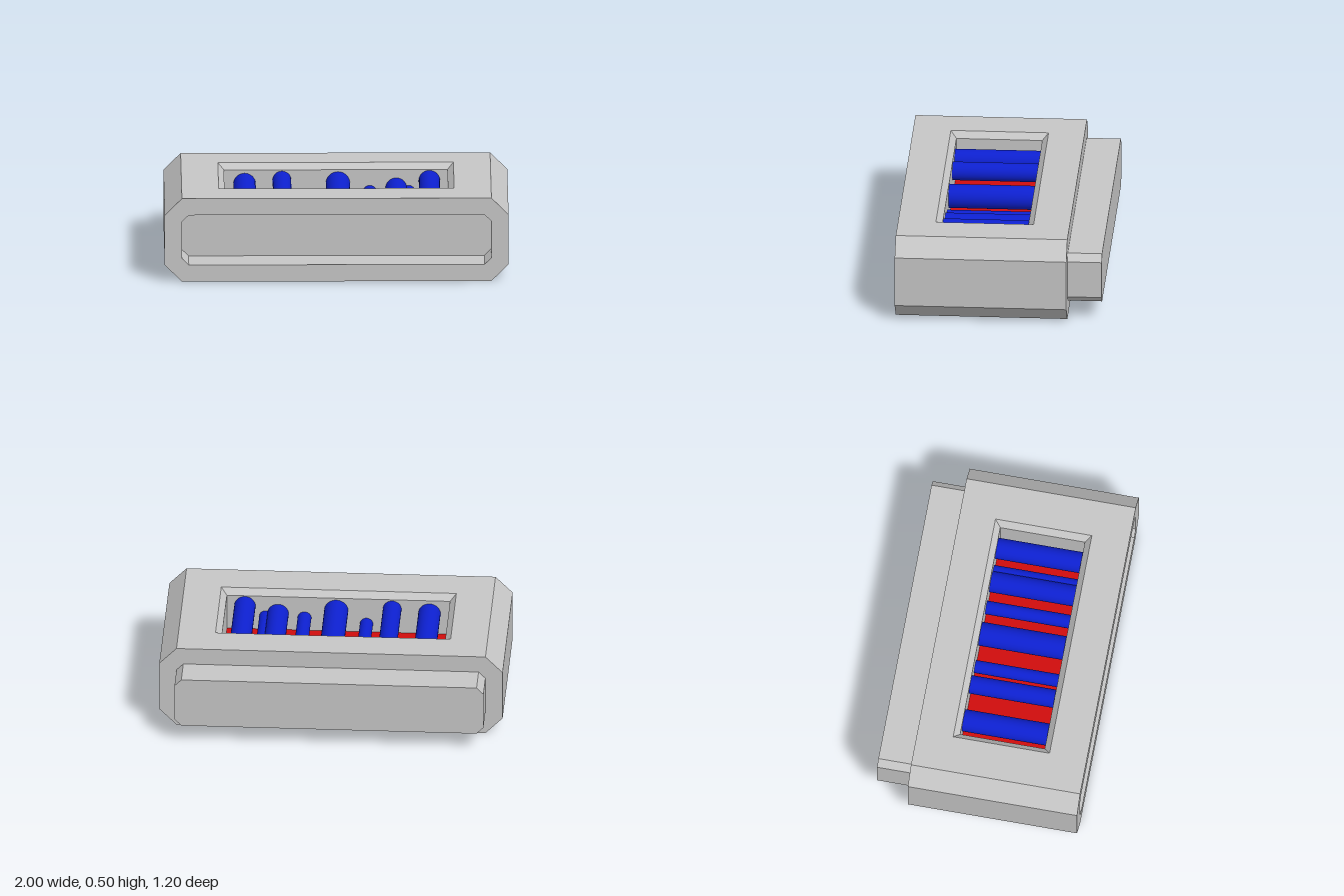
import * as THREE from 'three';

const material = (name, color) => {
  const m = new THREE.MeshStandardMaterial({ color });
  m.name = name;
  return m;
};

// Closed outline of a rectangle with chamfered corners, counter-clockwise
const octagon = (w, y0, y1, c) => [
  [-w + c, y0], [w - c, y0], [w, y0 + c], [w, y1 - c],
  [w - c, y1], [-w + c, y1], [-w, y1 - c], [-w, y0 + c],
];
const rect = (w, y0, y1) => [[-w, y0], [w, y0], [w, y1], [-w, y1]];

// Flat plate from an outline, with an optional hole
function plate(outline, z, hole) {
  const points = (l) => l.map(([x, y]) => new THREE.Vector2(x, y));
  const shape = new THREE.Shape(points(outline));
  if (hole) shape.holes.push(new THREE.Path(points(hole)));
  return new THREE.ShapeGeometry(shape).translate(0, 0, z);
}

// Wall between two outlines; faces outward when zA > zB and inward when zA < zB
function wall(a, zA, b, zB, skip = -1) {
  const pos = [];
  a.forEach((p, i) => {
    if (i === skip) return;
    const j = (i + 1) % a.length;
    const a0 = [...p, zA], a1 = [...a[j], zA];
    const b0 = [...b[i], zB], b1 = [...b[j], zB];
    pos.push(...a0, ...b0, ...a1, ...a1, ...b0, ...b1);
  });
  const g = new THREE.BufferGeometry();
  g.setAttribute('position', new THREE.Float32BufferAttribute(pos, 3));
  g.computeVertexNormals();
  return g;
}

export function createModel() {
  const model = new THREE.Group();
  model.name = 'cartridge';
  const grey = material('casing grey', 0xc6c6c6);
  const red = material('floor red', 0xd00d0d);
  const blue = material('rod blue', 0x0d20d0);

  const add = (name, geometry, mat) => {
    const mesh = new THREE.Mesh(geometry, mat);
    mesh.name = name;
    model.add(mesh);
    return mesh;
  };

  // Casing, open on top where the tray sits
  const outer = octagon(1, 0, 0.5, 0.1);
  const inner = octagon(0.9, 0.1, 0.4, 0.04);
  add('casingSides', wall(outer, 0.6, outer, -0.4, 4), grey);
  add('casingFront', plate(outer, 0.6, inner), grey);
  add('casingBack', plate(outer, 0.4, inner).rotateY(Math.PI), grey);

  // Socket in the front
  add('socketWalls', wall(inner, 0.4, inner, 0.6), grey);
  add('socketBack', plate(inner, 0.4), grey);

  // Matching plug at the back
  add('plugSides', wall(inner, -0.4, inner, -0.6), grey);
  add('plugEnd', plate(inner, 0.6).rotateY(Math.PI), grey);

  // Top face and bevelled tray, drawn flat and laid down
  const lay = (g) => g.rotateX(-Math.PI / 2);
  const rim = rect(0.685, -0.38, 0.19);
  const well = rect(0.65, -0.345, 0.155);
  add('casingTop', lay(plate(rect(0.9, -0.6, 0.4), 0.5, rim)), grey);
  add('trayBevel', lay(wall(well, 0.465, rim, 0.5)), grey);
  add('trayWalls', lay(wall(well, 0.25, well, 0.465)), grey);
  add('trayFloor', lay(plate(well, 0.25)), red);

  // Rods of different sizes across the tray: x, radius, height of the top
  const rods = [
    [-0.53, 0.065, 0.445], [-0.313, 0.054, 0.457], [-0.163, 0.038, 0.34],
    [0.013, 0.07, 0.453], [0.198, 0.04, 0.37], [0.352, 0.062, 0.415],
    [0.425, 0.036, 0.37], [0.545, 0.062, 0.46],
  ];
  for (const [x, r, top] of rods) {
    const g = new THREE.CylinderGeometry(r, r, 0.5, 32).rotateX(Math.PI / 2);
    add('rod', g, blue).position.set(x, top - r, 0.095);
  }
  return model;
}
